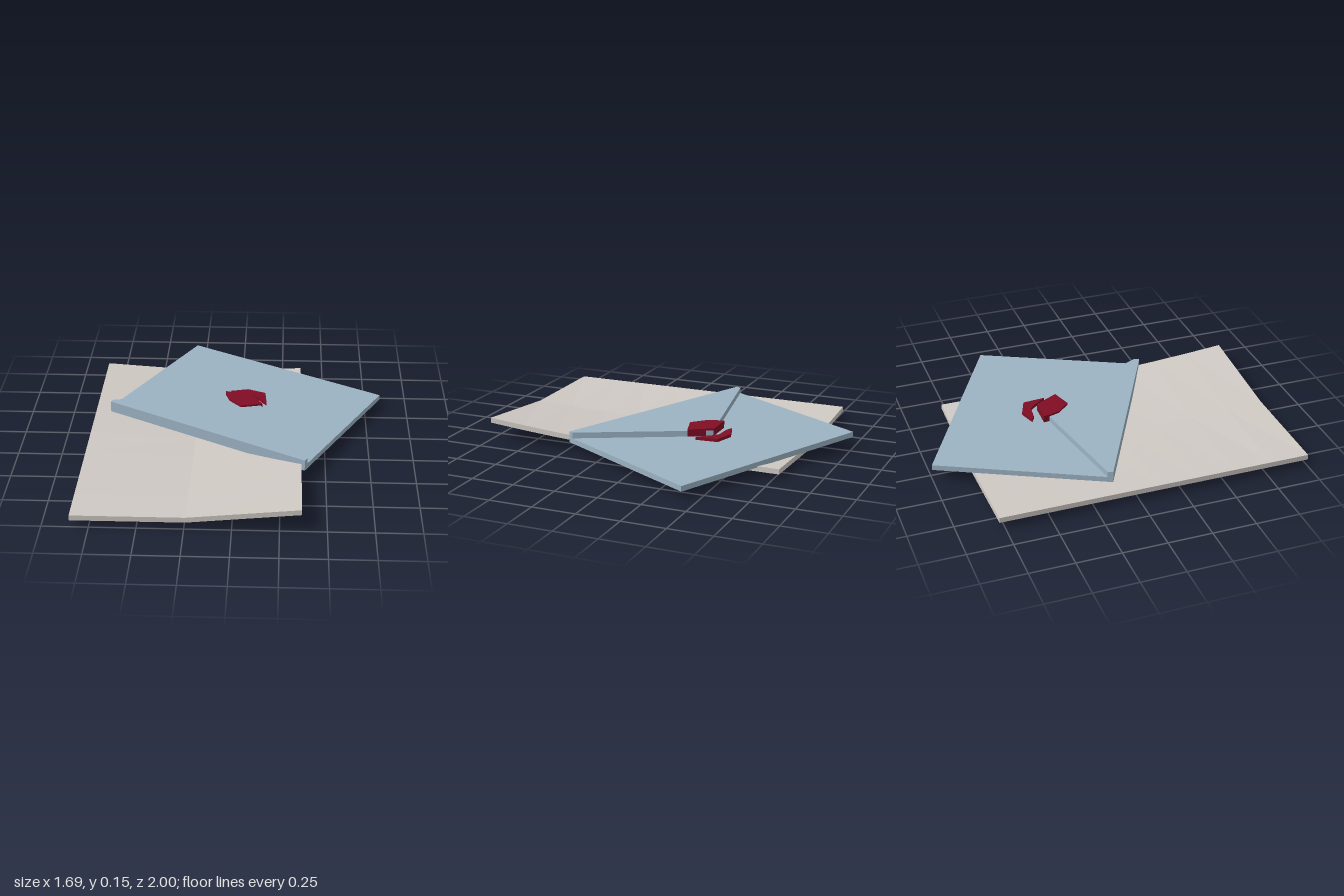
import * as THREE from 'three';

const flat = (name, color) => {
  const m = new THREE.MeshStandardMaterial({ color, flatShading: true });
  m.name = name;
  return m;
};

// Height of the tilted top face of the envelope body
const tilt = (x, z) => 0.0925 - 0.0277 * (x - 0.04) + 0.0026 * (z + 0.264);

// Plate with a plan outline of [x, z] points, lying along the tilted plane
function plate(name, outline, low, high, material) {
  const shape = new THREE.Shape(outline.map(([x, z]) => new THREE.Vector2(x, -z)));
  const geo = new THREE.ExtrudeGeometry(shape, { depth: 1, bevelEnabled: false });
  geo.rotateX(-Math.PI / 2);
  const p = geo.attributes.position;
  for (let i = 0; i < p.count; i++) {
    p.setY(i, tilt(p.getX(i), p.getZ(i)) + (p.getY(i) > 0.5 ? high : low));
  }
  geo.computeVertexNormals();
  const mesh = new THREE.Mesh(geo, material);
  mesh.name = name;
  return mesh;
}

// Sheet creased along its middle, with one front corner curling up
function letterSheet(material) {
  const w = 1.215, d = 1.78, thick = 0.03;
  const geo = new THREE.BoxGeometry(w, thick, d, 2, 1, 8);
  const p = geo.attributes.position;
  for (let i = 0; i < p.count; i++) {
    const x = p.getX(i), z = p.getZ(i);
    const curl = Math.pow(z / d + 0.5, 2.3);
    const left = 0.04;
    const middle = 0.04 * curl;
    const right = 0.028 + 0.073 * curl;
    const s = Math.abs(x) / (w / 2);
    const base = THREE.MathUtils.lerp(middle, x < 0 ? left : right, s);
    p.setXYZ(i, x - 0.2425, base + (p.getY(i) > 0 ? thick : 0), z + 0.11);
  }
  geo.computeVertexNormals();
  const mesh = new THREE.Mesh(geo, material);
  mesh.name = 'letterSheet';
  return mesh;
}

export function createModel() {
  const paper = flat('paper', 0xcfc9c4);
  const blue = flat('envelopeBlue', 0x9cb3c3);
  const wax = flat('waxRed', 0x800d24);

  const group = new THREE.Group();
  group.name = 'letterAndEnvelope';
  group.add(letterSheet(paper));

  // Envelope body and the folded flap hinged on its front edge
  const backLeft = [-0.3, -1], backRight = [0.842, -0.408];
  const frontRight = [0.383, 0.475], frontLeft = [-0.758, -0.118];
  group.add(plate('envelopeBody', [backLeft, backRight, frontRight, frontLeft], -0.031, 0, blue));
  group.add(plate('envelopeFlap',
    [frontLeft, [-0.744, -0.145], [0.066, -0.281], [0.397, 0.449], frontRight], 0, 0.034, blue));

  // Broken wax seal: a large piece on the flap, a crescent on the body
  group.add(plate('sealPiece',
    [[-0.085, -0.29], [0.06, -0.285], [0.135, -0.15], [0.01, -0.115], [-0.06, -0.19], [-0.08, -0.25]],
    0.003, 0.045, wax));
  group.add(plate('sealFragment',
    [[-0.055, -0.35], [0.045, -0.38], [0.15, -0.34], [0.16, -0.21], [0.1, -0.29], [0.07, -0.32], [-0.02, -0.33]],
    0, 0.018, wax));
  return group;
}
